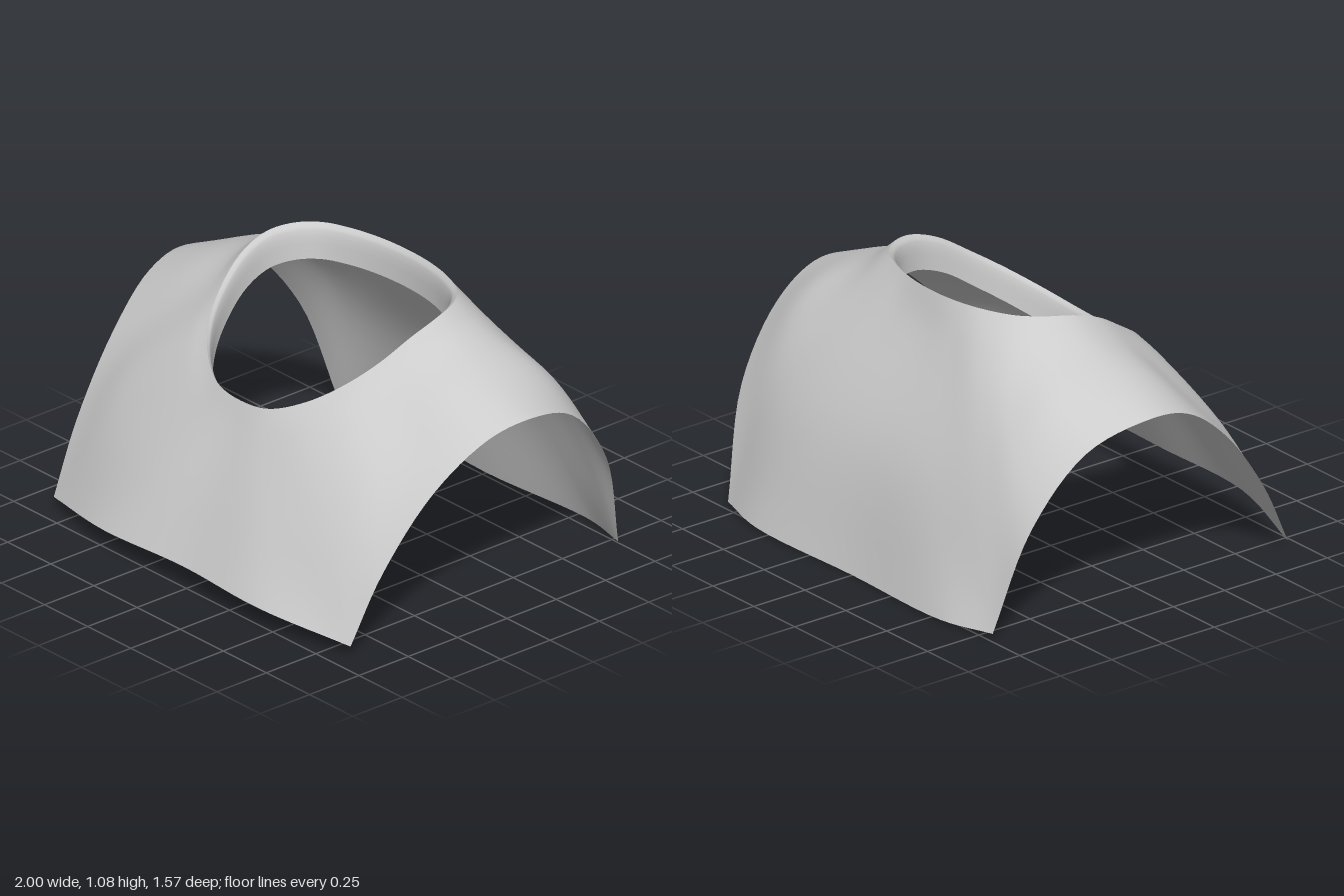
import * as THREE from 'three';

// Half-rings of key points [x, y, z], from front centre round the left side to back centre
const NECK = [
  [0, .71, .475], [.15, .725, .46], [.29, .785, .39], [.39, .86, .29], [.455, .94, .17], [.49, 1.02, .04],
  [.495, 1.065, -.09], [.46, 1.078, -.2], [.39, 1.08, -.28], [.27, 1.078, -.335], [.14, 1.076, -.365], [0, 1.075, -.375],
];
const COLLAR_BASE = [
  [0, .61, .52], [.17, .62, .515], [.35, .69, .455], [.45, .79, .345], [.52, .88, .2], [.56, .962, .05],
  [.57, 1.004, -.1], [.54, .998, -.25], [.46, .97, -.36], [.32, .95, -.415], [.16, .935, -.425], [0, .93, -.425],
];
const MIDDLE = [
  [0, .36, .645], [.3, .37, .645], [.62, .4, .58], [.69, .57, .45], [.73, .735, .26], [.76, .875, .07],
  [.78, .908, -.12], [.75, .855, -.37], [.69, .7, -.535], [.6, .54, -.622], [.35, .5, -.645], [0, .49, -.645],
];
const EDGE = [
  [0, .1, .768], [.45, .088, .774], [.86, .045, .67], [.887, .32, .53], [.93, .605, .31], [.98, .775, .08],
  [1, .81, -.12], [.945, .72, -.38], [.89, .45, -.6], [.81, .02, -.73], [.57, .01, -.787], [0, 0, -.77],
];
const COUNT = 22;                       // key points in a full ring
const CORNERS = [-2, 2, 9, 13, 20];     // hem corners, where the edge breaks
const STEPS = 6;                        // columns between key points

// Mirror a half-ring into a full one
function fullRing(half) {
  const mirrored = half.slice(1, -1).reverse().map(([x, y, z]) => [-x, y, z]);
  return [...half, ...mirrored].map((p) => new THREE.Vector3(...p));
}

// Sampler round a ring, optionally broken into separate curves at the corners
function ringSampler(half, corners) {
  const pts = fullRing(half);
  if (!corners) {
    const curve = new THREE.CatmullRomCurve3(pts, true);
    return (s) => curve.getPoint(((s + COUNT) % COUNT) / COUNT);
  }
  const pieces = corners.slice(1).map((end, i) => {
    const start = corners[i];
    const run = Array.from({ length: end - start + 1 }, (_, k) => pts[(start + k + COUNT) % COUNT]);
    return { start, end, curve: new THREE.CatmullRomCurve3(run) };
  });
  return (s) => {
    const p = pieces.find((q) => s < q.end);
    return p.curve.getPoint((s - p.start) / (p.end - p.start));
  };
}

// Closed band of cloth skinned across a series of rings, first ring innermost
function skin(name, samplers, rows, material) {
  const cols = COUNT * STEPS;
  const pos = [], index = [];
  for (let j = 0; j < cols; j++) {
    const s = j / STEPS - 2;
    const spoke = new THREE.CatmullRomCurve3(samplers.map((f) => f(s)));
    for (let r = 0; r <= rows; r++) {
      pos.push(...spoke.getPoint(r / rows).toArray());
      if (r === rows) continue;
      const a = j * (rows + 1) + r;
      const d = ((j + 1) % cols) * (rows + 1) + r;
      index.push(a, a + 1, d + 1, a, d + 1, d);
    }
  }
  const geometry = new THREE.BufferGeometry();
  geometry.setAttribute('position', new THREE.Float32BufferAttribute(pos, 3));
  geometry.setIndex(index);
  geometry.computeVertexNormals();
  const mesh = new THREE.Mesh(geometry, material);
  mesh.name = name;
  return mesh;
}

// Neck ring drawn inward by a fraction and lowered
const inset = (amount, drop) =>
  NECK.map(([x, y, z]) => [x * (1 - .07 * amount), y - drop, z + (.01 - .053 * z) * amount]);

export function createModel() {
  const cloth = new THREE.MeshStandardMaterial({ color: 0xcccccc, roughness: .8, side: THREE.DoubleSide });
  const group = new THREE.Group();
  group.name = 'shoulderYoke';

  const neck = ringSampler(NECK);
  // Chest, shoulders and back
  group.add(skin('yoke', [
    neck, ringSampler(COLLAR_BASE), ringSampler(MIDDLE), ringSampler(EDGE, CORNERS),
  ], 18, cloth));
  // Band turned down inside the neck opening
  group.add(skin('neckFacing', [
    ringSampler(inset(1, .14)), ringSampler(inset(.6, .025)), neck,
  ], 8, cloth));
  return group;
}
